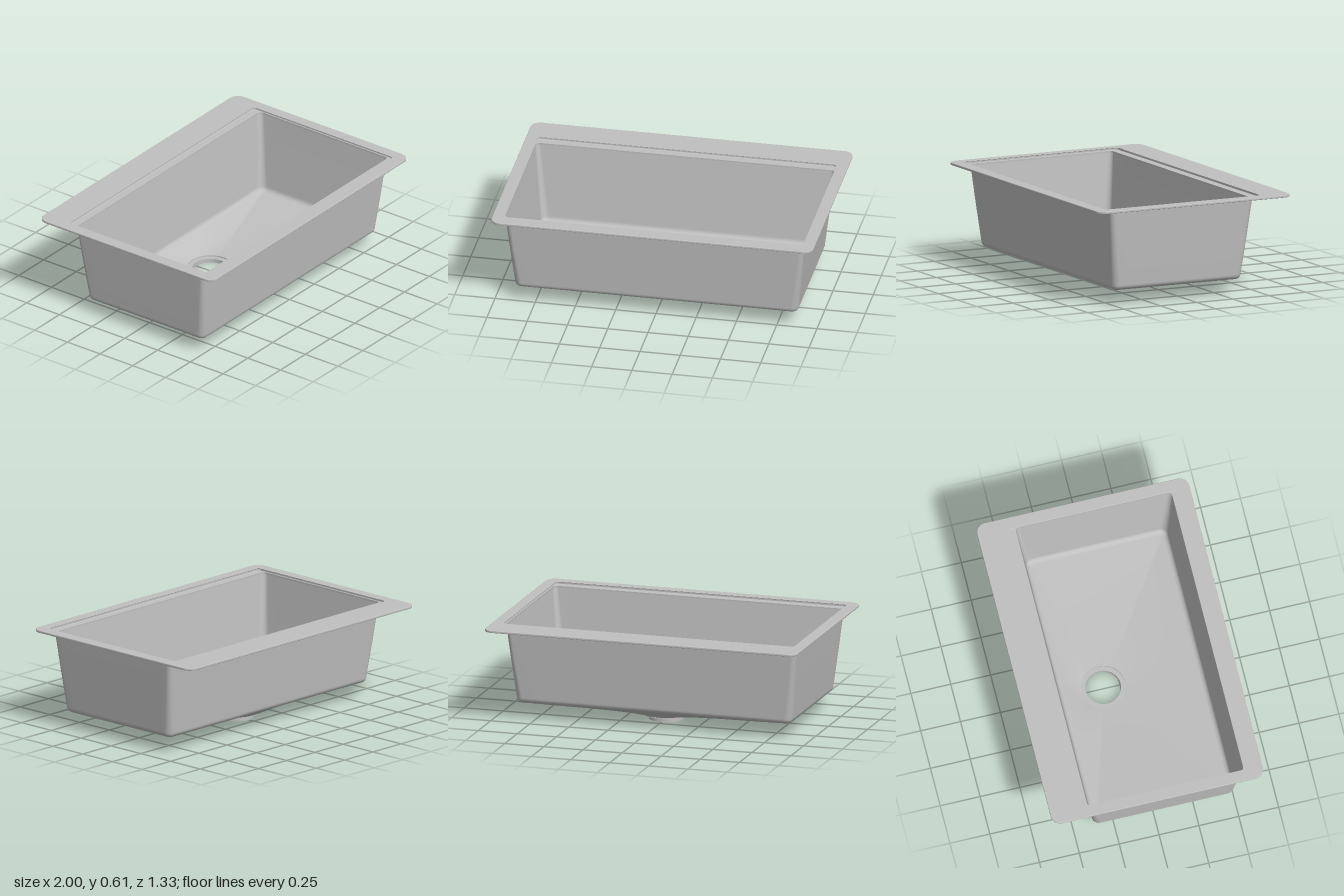
import * as THREE from 'three';

const steel = new THREE.MeshStandardMaterial({ color: 0xc0c0c0, side: THREE.DoubleSide });
steel.name = 'satin steel';

const DRAIN_Z = -0.105, FLANGE_R = 0.137, PIPE_R = 0.108;

// Rounded rectangle in plan as [x, z] points, with extra points along each edge
function outline(hx, z0, z1, r, arc = 6, edge = 16) {
  const centres = [[hx - r, z1 - r], [-hx + r, z1 - r], [-hx + r, z0 + r], [hx - r, z0 + r]];
  const at = (c, a) => [centres[c][0] + r * Math.cos(a), centres[c][1] + r * Math.sin(a)];
  const pts = [];
  for (let c = 0; c < 4; c++) {
    const a0 = c * Math.PI / 2, a1 = a0 + Math.PI / 2;
    for (let i = 0; i <= arc; i++) pts.push(at(c, a0 + (a1 - a0) * i / arc));
    const p = at(c, a1), q = at((c + 1) % 4, a1);
    for (let i = 1; i < edge; i++) {
      const t = i / edge;
      pts.push([p[0] + (q[0] - p[0]) * t, p[1] + (q[1] - p[1]) * t]);
    }
  }
  return pts;
}

// Skin through closed rings of [x, y, z]
function loft(rings) {
  const n = rings[0].length, index = [];
  for (let j = 0; j < rings.length - 1; j++) {
    for (let i = 0; i < n; i++) {
      const a = j * n + i, b = j * n + (i + 1) % n;
      index.push(a, b, a + n, b, b + n, a + n);
    }
  }
  const g = new THREE.BufferGeometry();
  g.setAttribute('position', new THREE.Float32BufferAttribute(rings.flat(2), 3));
  g.setIndex(index);
  g.computeVertexNormals();
  return g;
}

// Flat frame: outer and inner outlines extruded upwards from y
function frame(outer, inner, y, height, bevel) {
  const vec = pts => pts.map(([x, z]) => new THREE.Vector2(x, -z));
  const shape = new THREE.Shape(vec(outer));
  shape.holes.push(new THREE.Path(vec(inner)));
  const g = new THREE.ExtrudeGeometry(shape, {
    depth: height - 2 * bevel, bevelEnabled: bevel > 0, bevelThickness: bevel,
    bevelSize: bevel, bevelOffset: -bevel, bevelSegments: 3,
  });
  return g.rotateX(-Math.PI / 2).translate(0, y + bevel, 0);
}

export function createModel() {
  const model = new THREE.Group();
  model.name = 'sink';
  const add = (name, geometry) => {
    const mesh = new THREE.Mesh(geometry, steel);
    mesh.name = name;
    model.add(mesh);
    return mesh;
  };

  // Counter rim, wider at the back
  add('rim', frame(outline(1, -0.665, 0.665, 0.06, 8, 1),
    outline(0.933, -0.48, 0.595, 0.025, 6, 1), 0.597, 0.015, 0.004));

  // Recessed ledge along the front and back of the opening
  add('ledge', frame(outline(0.936, -0.483, 0.598, 0.03, 6, 1),
    outline(0.929, -0.43, 0.55, 0.025, 6, 1), 0.585, 0.012, 0));

  // Bowl: tapered walls, rounded foot, floor falling to the drain
  const rings = [];
  const ring = (hx, z0, z1, r, y) => {
    const pts = outline(hx, z0, z1, r).map(([x, z]) => [x, y, z]);
    rings.push(pts);
    return pts;
  };
  ring(0.93, -0.43, 0.55, 0.03, 0.588);
  ring(0.907, -0.407, 0.529, 0.035, 0.36);
  let foot;
  for (let k = 0; k <= 6; k++) {
    const a = k / 6 * 1.45, inset = 0.035 * (1 - Math.cos(a));
    foot = ring(0.882 - inset, -0.383 + inset, 0.507 - inset, 0.045 - inset,
      0.127 - 0.035 * Math.sin(a));
  }
  const footY = foot[0][1];
  for (let k = 1; k <= 14; k++) {
    const t = 1 - k / 14;
    const y = 0.034 + (footY - 0.034) * Math.pow(t, 1.15);
    rings.push(foot.map(([x, , z]) => {
      const dz = z - DRAIN_Z, d = Math.hypot(x, dz);
      const s = (FLANGE_R + (d - FLANGE_R) * t) / d;
      return [x * s, y, DRAIN_Z + dz * s];
    }));
  }
  add('bowl', loft(rings));

  // Drain: stepped seat and open tailpiece
  const seatWall = add('drainStep', new THREE.CylinderGeometry(FLANGE_R, FLANGE_R, 0.008, 64, 1, true));
  seatWall.position.set(0, 0.03, DRAIN_Z);
  const seat = add('drainSeat', new THREE.RingGeometry(PIPE_R, FLANGE_R, 64).rotateX(-Math.PI / 2));
  seat.position.set(0, 0.026, DRAIN_Z);
  const pipe = add('drainPipe', new THREE.CylinderGeometry(PIPE_R, PIPE_R, 0.026, 64, 1, true));
  pipe.position.set(0, 0.013, DRAIN_Z);

  return model;
}
